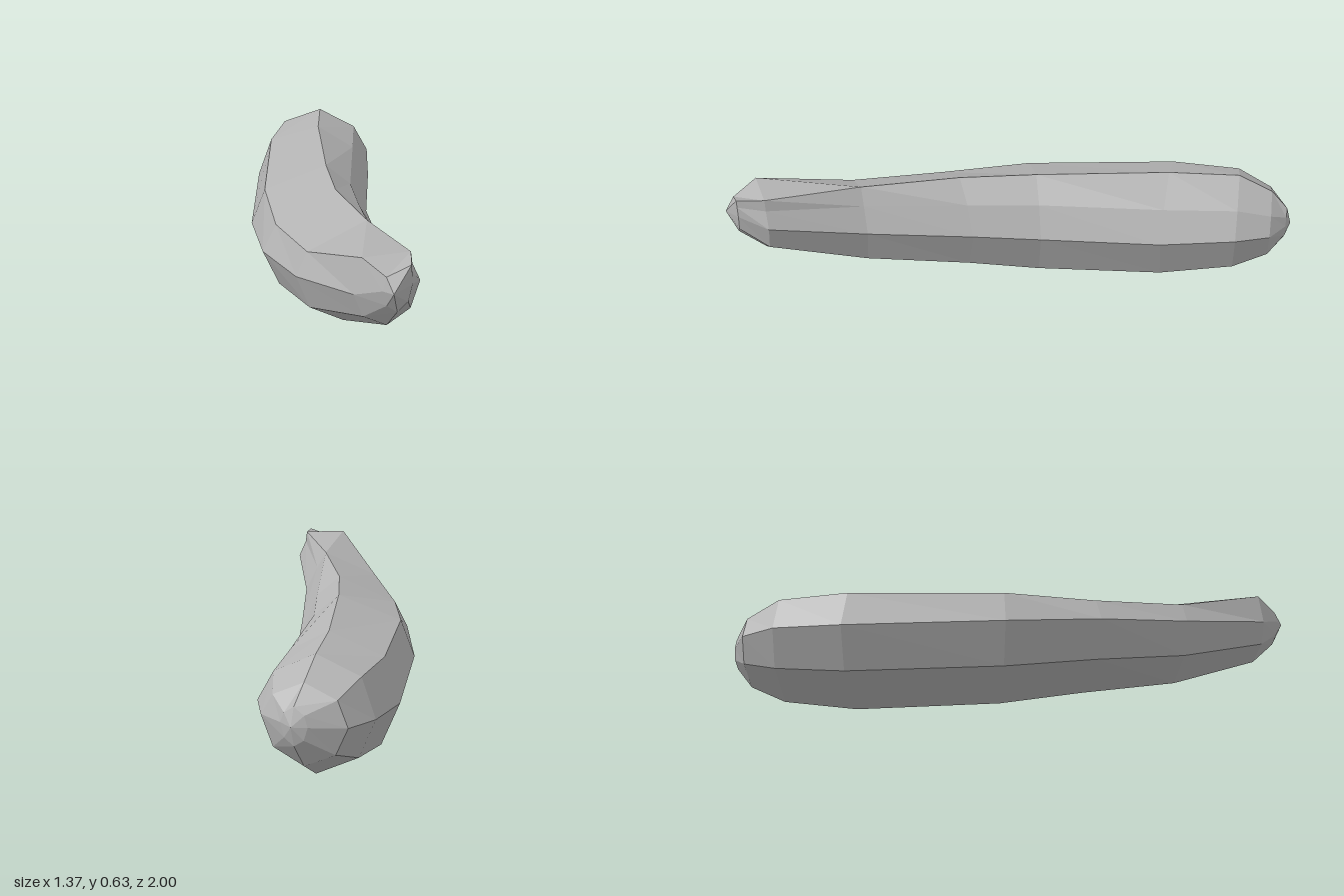
import * as THREE from 'three';

// Cross-sections from the rounded back end to the blunt front end:
// [left x, left z, right x, right z, bottom y, top y, ridge offset, shoulder height]
const SECTIONS = [
  [-0.57, -0.97, -0.47, -0.99, 0.20, 0.34, 0.0, 0.80],
  [-0.67, -0.87, -0.36, -0.95, 0.11, 0.41, 0.0, 0.82],
  [-0.69, -0.72, -0.26, -0.83, 0.04, 0.48, 0.0, 0.84],
  [-0.63, -0.45, -0.13, -0.55, 0.00, 0.50, 0.1, 0.84],
  [-0.36, 0.13, 0.06, -0.10, 0.03, 0.53, 0.3, 0.80],
  [-0.14, 0.45, 0.20, 0.14, 0.10, 0.55, 0.3, 0.74],
  [0.14, 0.72, 0.42, 0.50, 0.19, 0.59, 0.5, 0.74],
  [0.48, 0.96, 0.66, 0.80, 0.36, 0.63, 0.7, 1.00],
  [0.60, 0.99, 0.68, 0.92, 0.46, 0.63, 0.9, 0.80],
];

// One ring as [across -1..1, up 0..1], running ridge, left, belly, right
function ringPoints([lx, lz, rx, rz, bottom, top, ridge, shoulder]) {
  const outline = [
    [ridge, 1], [-0.76, shoulder], [-1, 0.5], [-0.72, 0.17],
    [0, 0], [0.72, 0.2], [1, 0.58], [Math.max(0.72, ridge + 0.05), 0.83],
  ];
  return outline.map(([u, v]) => {
    const t = (u + 1) / 2;
    return new THREE.Vector3(
      lx + (rx - lx) * t, bottom + (top - bottom) * v, lz + (rz - lz) * t);
  });
}

function loft(rings) {
  const positions = [];
  const tri = (...points) => points.forEach((p) => positions.push(p.x, p.y, p.z));
  const count = rings[0].length;

  // Faceted skin between neighbouring rings
  for (let i = 0; i < rings.length - 1; i++) {
    for (let k = 0; k < count; k++) {
      const n = (k + 1) % count;
      const a = rings[i][k], b = rings[i][n];
      const c = rings[i + 1][n], d = rings[i + 1][k];
      tri(a, b, c);
      tri(a, c, d);
    }
  }

  // End caps
  const centre = (ring) => ring
    .reduce((sum, p) => sum.add(p), new THREE.Vector3()).divideScalar(count);
  const first = rings[0], last = rings[rings.length - 1];
  const back = centre(first), front = centre(last);
  back.z = -1;
  front.z = 1;
  for (let k = 0; k < count; k++) {
    const n = (k + 1) % count;
    tri(back, first[n], first[k]);
    tri(front, last[k], last[n]);
  }

  const geometry = new THREE.BufferGeometry();
  geometry.setAttribute('position', new THREE.Float32BufferAttribute(positions, 3));
  geometry.computeVertexNormals();
  return geometry;
}

export function createModel() {
  const grey = new THREE.MeshStandardMaterial({ color: 0xb4b4b4, flatShading: true });
  grey.name = 'stone grey';

  const body = new THREE.Mesh(loft(SECTIONS.map(ringPoints)), grey);
  body.name = 'curvedBody';

  const model = new THREE.Group();
  model.name = 'curvedStone';
  model.add(body);
  return model;
}
